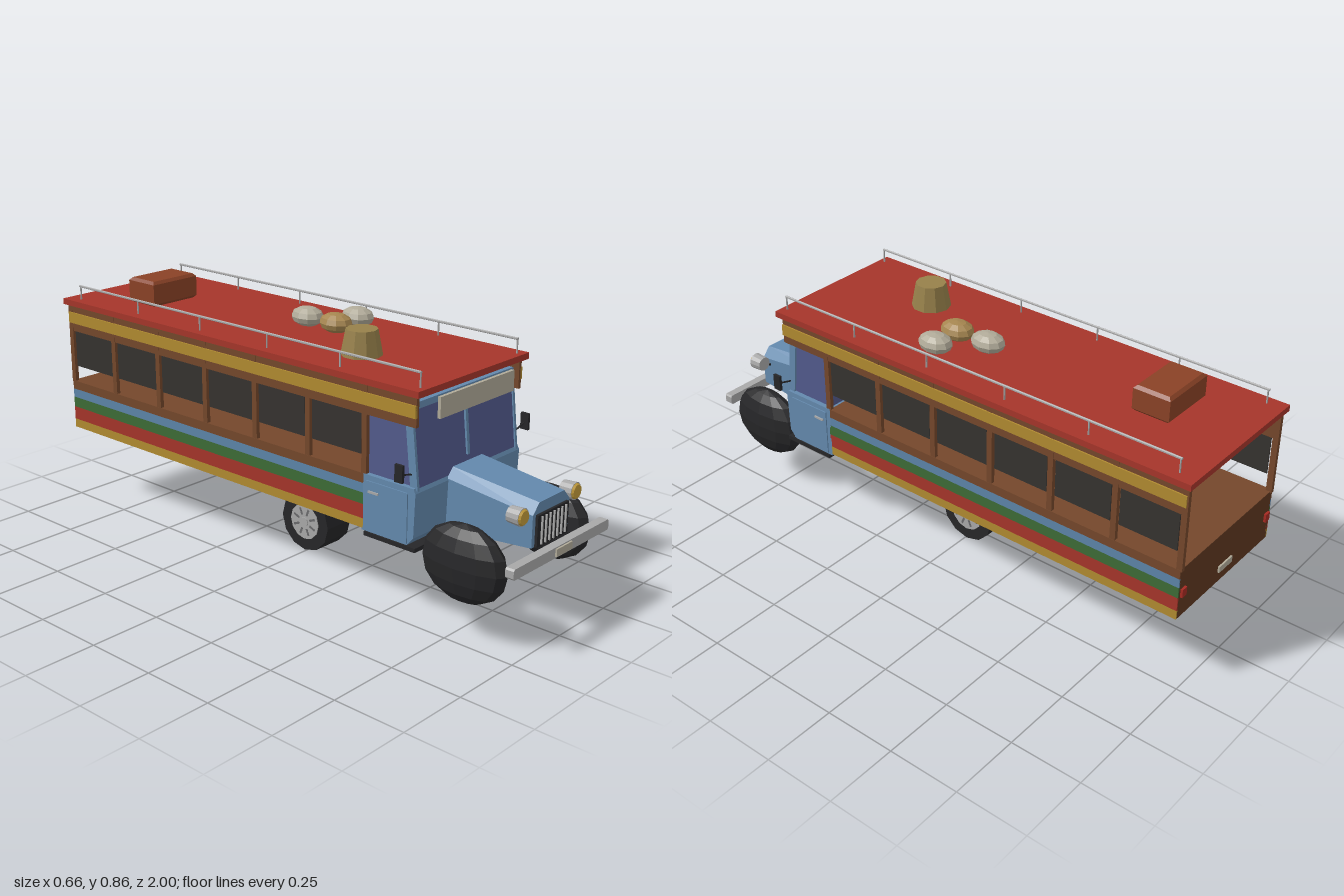
import * as THREE from 'three';

const C = {
  red: 0xa5352a, brown: 0x74472b, darkBrown: 0x5e3720, yellow: 0xb08a30, green: 0x3d6b36, stripeBlue: 0x5c84a8,
  blue: 0x6389ad, glass: 0x525a8c, black: 0x262628, pane: 0x35322f, steel: 0xa8a8a8, cream: 0xb0aa98,
  lamp: 0xc09a3a, tan: 0xa5854f, basket: 0x96804a, leather: 0x8a4226, tail: 0xa52a22,
};

export function createModel() {
  const root = new THREE.Group();
  const mats = {};
  const mat = (c) => (mats[c] ??= new THREE.MeshStandardMaterial({ color: c, flatShading: true }));
  const add = (name, geo, color, x = 0, y = 0, z = 0) => {
    const m = new THREE.Mesh(geo, mat(color));
    m.name = name;
    m.position.set(x, y, z);
    root.add(m);
    return m;
  };
  // Box from its lower and upper limits on each axis
  const box = (name, color, [x0, x1], [y0, y1], [z0, z1]) =>
    add(name, new THREE.BoxGeometry(x1 - x0, y1 - y0, z1 - z0), color, (x0 + x1) / 2, (y0 + y1) / 2, (z0 + z1) / 2);
  // Same box on both sides
  const pair = (name, color, [x0, x1], ys, zs) => {
    box(name + 'Left', color, [x0, x1], ys, zs);
    box(name + 'Right', color, [-x1, -x0], ys, zs);
  };
  // Side profile of [z, y] points extruded between two x limits
  const prism = (name, color, pts, x0, x1) => {
    const s = new THREE.Shape(pts.map(([z, y]) => new THREE.Vector2(z, y)));
    const g = new THREE.ExtrudeGeometry(s, { depth: x1 - x0, bevelEnabled: false });
    g.rotateY(-Math.PI / 2);
    return add(name, g, color, x1);
  };
  // Rod between two points
  const rod = (name, color, a, b, r, sides = 6) => {
    const A = new THREE.Vector3(...a), B = new THREE.Vector3(...b), d = B.clone().sub(A);
    const m = add(name, new THREE.CylinderGeometry(r, r, d.length(), sides), color);
    m.position.copy(A).add(B).multiplyScalar(0.5);
    m.quaternion.setFromUnitVectors(new THREE.Vector3(0, 1, 0), d.normalize());
    return m;
  };
  const blob = (name, color, [x, y, z], [a, b, c], w, h) =>
    add(name, new THREE.SphereGeometry(1, w, h).scale(a, b, c), color, x, y, z);

  // Passenger body with painted stripes
  const back = -0.985, front = 0.435;
  box('passengerBody', C.darkBrown, [-0.263, 0.263], [0.278, 0.458], [back, front]);
  [[0.278, 0.31, C.yellow], [0.31, 0.358, C.red], [0.358, 0.396, C.green],
    [0.396, 0.428, C.stripeBlue], [0.428, 0.46, C.brown]].forEach(([y0, y1, c], i) =>
    pair('sideStripe' + i, c, [0.255, 0.268], [y0, y1], [back, front]));
  box('floor', C.brown, [-0.256, 0.256], [0.45, 0.46], [back, front]);

  // Posts and dark window blinds
  const step = 0.2358;
  for (let i = 0; i < 7; i++) {
    const z = front - i * step;
    pair('windowPost', C.brown, [0.253, 0.267], [0.455, 0.752], [z - 0.01, z + 0.01]);
    if (i < 6) pair('windowBlind', C.pane, [0.256, 0.261], [0.518, 0.655], [z - step + 0.016, z - 0.016]);
  }

  // Upper side bands and roof
  pair('upperBand', C.brown, [0.254, 0.266], [0.652, 0.752], [back, 0.635]);
  pair('upperStripe', C.yellow, [0.262, 0.271], [0.682, 0.722], [back, 0.635]);
  box('roof', C.red, [-0.28, 0.28], [0.75, 0.771], [-1, 0.652]);

  // Rear lamps and plate
  pair('tailLamp', C.tail, [0.232, 0.256], [0.355, 0.385], [-0.993, -0.98]);
  box('rearPlate', C.cream, [-0.038, 0.038], [0.316, 0.338], [-0.991, -0.98]);

  // Cab: lower shell, glazed upper part, pillars and header
  prism('cabLower', C.blue, [[0.43, 0.272], [0.61, 0.272], [0.635, 0.3], [0.64, 0.445], [0.632, 0.46], [0.43, 0.46]], -0.268, 0.268);
  prism('cabGlass', C.glass, [[0.438, 0.455], [0.634, 0.455], [0.607, 0.705], [0.438, 0.705]], -0.251, 0.251);
  prism('cabHeader', C.blue, [[0.436, 0.7], [0.615, 0.7], [0.612, 0.72], [0.436, 0.72]], -0.256, 0.256);
  for (const s of [-1, 1]) {
    const a = s * 0.253;
    prism('frontPillar', C.blue, [[0.612, 0.45], [0.64, 0.45], [0.611, 0.71], [0.583, 0.71]], a - 0.005, a + 0.005);
  }
  prism('windscreenDivider', C.blue, [[0.62, 0.5], [0.636, 0.5], [0.615, 0.705], [0.6, 0.705]], -0.006, 0.006);
  box('destinationBoard', C.cream, [-0.187, 0.187], [0.668, 0.736], [0.652, 0.663]);
  pair('cabDoor', C.blue, [0.262, 0.272], [0.278, 0.442], [0.448, 0.612]);
  pair('doorHandle', C.steel, [0.27, 0.277], [0.405, 0.412], [0.46, 0.5]);
  pair('runningBoard', C.black, [0.17, 0.272], [0.257, 0.271], [0.442, 0.645]);

  // Hood from two chamfered cross-sections
  const section = (top, wide, yTop, yEdge, yLow, z) =>
    [[-wide, yLow], [wide, yLow], [wide, yEdge], [top, yTop], [-top, yTop], [-wide, yEdge]].map(([x, y]) => [x, y, z]);
  const rear = section(0.075, 0.108, 0.48, 0.452, 0.28, 0.62);
  const nose = section(0.066, 0.097, 0.444, 0.41, 0.305, 0.945);
  const tri = [];
  for (let i = 0; i < 6; i++) {
    const j = (i + 1) % 6;
    tri.push(rear[i], rear[j], nose[j], rear[i], nose[j], nose[i]);
    if (i > 0 && i < 5) tri.push(nose[0], nose[i], nose[i + 1], rear[0], rear[i + 1], rear[i]);
  }
  const hood = new THREE.BufferGeometry();
  hood.setAttribute('position', new THREE.Float32BufferAttribute(tri.flat(), 3));
  hood.computeVertexNormals();
  add('hood', hood, C.blue);
  box('grille', C.black, [-0.082, 0.082], [0.305, 0.408], [0.94, 0.954]);
  for (let i = -3; i <= 3; i++)
    box('grilleBar', C.steel, [i * 0.021 - 0.002, i * 0.021 + 0.002], [0.312, 0.402], [0.95, 0.96]);

  // Bumper with chamfered ends, and plate
  const b = new THREE.Shape([[-0.255, 0.276], [-0.25, 0.27], [0.25, 0.27], [0.255, 0.276], [0.255, 0.299],
    [0.25, 0.305], [-0.25, 0.305], [-0.255, 0.299]].map((p) => new THREE.Vector2(...p)));
  add('bumper', new THREE.ExtrudeGeometry(b, { depth: 0.03, bevelEnabled: false }), C.steel, 0, 0, 0.964);
  box('frontPlate', C.cream, [-0.042, 0.042], [0.276, 0.301], [0.99, 1]);

  // Parts mirrored on both sides
  for (const s of [-1, 1]) {
    blob('frontWheelFender', C.black, [s * 0.222, 0.255, 0.795], [0.058, 0.127, 0.157], 12, 8);
    const shell = add('headlampShell', new THREE.CylinderGeometry(0.029, 0.026, 0.045, 12), C.steel, s * 0.14, 0.417, 0.917);
    shell.rotation.x = Math.PI / 2;
    const lens = add('headlampLens', new THREE.CylinderGeometry(0.022, 0.027, 0.008, 12), C.lamp, s * 0.14, 0.417, 0.942);
    lens.rotation.x = Math.PI / 2;
    rod('headlampBracket', C.black, [s * 0.09, 0.39, 0.91], [s * 0.14, 0.41, 0.91], 0.005);
    rod('mirrorArm', C.black, [s * 0.265, 0.503, 0.62], [s * 0.32, 0.518, 0.62], 0.003);
    box('mirror', C.black, [s * 0.323 - 0.005, s * 0.323 + 0.005], [0.495, 0.551], [0.606, 0.636]);
    // Roof rail
    const x = s * 0.244;
    rod('roofRail', C.steel, [x, 0.819, 0.632], [x, 0.819, -0.945], 0.0045);
    for (let i = 0; i < 6; i++) {
      const z = 0.63 - i * 0.314;
      rod('railPost', C.steel, [x, 0.768, z], [x, 0.822, z], 0.003);
    }
  }

  // Central road wheel with spoked hub on each face
  const wy = 0.106, wz = -0.007;
  rod('tyre', C.black, [-0.058, wy, wz], [0.058, wy, wz], 0.106, 12);
  rod('hubDisc', C.steel, [-0.061, wy, wz], [0.061, wy, wz], 0.064, 12);
  rod('hubCap', C.steel, [-0.065, wy, wz], [0.065, wy, wz], 0.018, 8);
  for (let i = 0; i < 8; i++) {
    const a = ((i + 0.5) / 8) * Math.PI * 2;
    const slot = add('hubSlot', new THREE.BoxGeometry(0.124, 0.026, 0.008), 0x6a6a6c, 0, wy + Math.sin(a) * 0.039, wz + Math.cos(a) * 0.039);
    slot.rotation.x = Math.PI / 2 - a;
  }

  // Roof luggage
  add('basket', new THREE.CylinderGeometry(0.052, 0.068, 0.086, 10), C.basket, -0.095, 0.813, 0.275);
  blob('tanSack', C.tan, [0.04, 0.806, 0.045], [0.049, 0.034, 0.062], 10, 6);
  blob('paleSackSide', C.cream, [0.15, 0.806, 0.045], [0.049, 0.034, 0.062], 10, 6);
  blob('paleSackBack', C.cream, [0.04, 0.806, -0.083], [0.049, 0.034, 0.062], 10, 6);
  const lid = new THREE.Shape([[-0.092, -0.056], [0.092, -0.056], [0.092, 0.056], [-0.092, 0.056]].map((p) => new THREE.Vector2(...p)));
  const trunk = add('suitcase', new THREE.ExtrudeGeometry(lid, { depth: 0.07, bevelSize: 0.01, bevelThickness: 0.01, bevelSegments: 1 }), C.leather, -0.047, 0.782, -0.715);
  trunk.rotation.x = -Math.PI / 2;

  return root;
}
